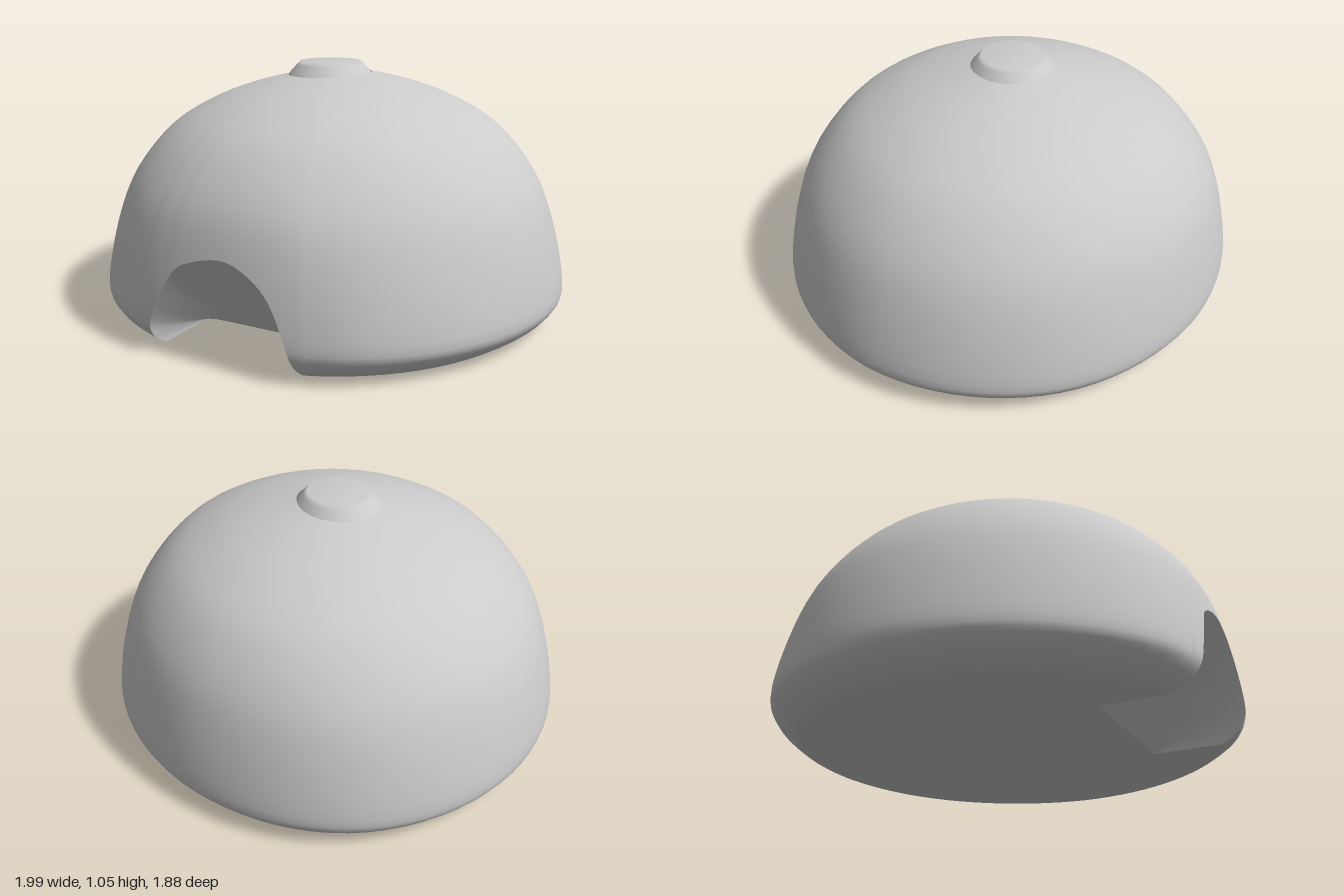
import * as THREE from 'three';

const v2 = (pts) => pts.map(([a, b]) => new THREE.Vector2(a, b));
const GROUND = 0.005;

// Dome profile (radius, height) from the rounded foot to the vent
const profile = new THREE.SplineCurve(v2([
  [0.87, GROUND], [0.91, 0.025], [0.975, 0.08], [0.997, 0.16], [0.945, 0.4], [0.862, 0.6],
  [0.71, 0.782], [0.525, 0.893], [0.34, 0.96], [0.15, 1.005],
]));

// Doorway outline (x, y), slightly off centre
const arch = new THREE.SplineCurve(v2([
  [-0.335, GROUND], [-0.33, 0.07], [-0.31, 0.16], [-0.23, 0.32], [-0.16, 0.385], [0, 0.425],
  [0.12, 0.385], [0.21, 0.3], [0.275, 0.16], [0.295, 0.07], [0.3, GROUND],
]));

const DOOR_STEPS = 40, ROUND_STEPS = 72, ROWS = 36, RECESS_Z = 0.53;

// Profile parameter at a given height
function paramAt(y) {
  let lo = 0, hi = 1;
  for (let i = 0; i < 30; i++) {
    const mid = (lo + hi) / 2;
    if (profile.getPoint(mid).y < y) lo = mid; else hi = mid;
  }
  return lo;
}

// Point on the dome; the plan is flattened at front and back and slimmer at the back left
function domePoint(angle, t) {
  const p = profile.getPoint(t);
  const slim = Math.sin(angle) > 0 ? 1 - 0.025 * Math.max(0, -Math.sin(2 * angle)) : 1;
  const x = p.x * slim * Math.sin(angle);
  let z = p.x * slim * Math.cos(angle);
  if (z > 0) z = Math.min(z - Math.max(0, z - 0.8) ** 2, 0.94);
  else z = 0.98 * z + 0.22 * Math.max(0, -z - 0.6) ** 2;
  return [x, p.y, z];
}

function surface(positions, index) {
  const g = new THREE.BufferGeometry();
  g.setAttribute('position', new THREE.Float32BufferAttribute(positions, 3));
  g.setIndex(index);
  g.computeVertexNormals();
  return g;
}

export function createModel() {
  const group = new THREE.Group();
  const grey = new THREE.MeshStandardMaterial({ color: 0xcccccc, side: THREE.DoubleSide });
  const add = (name, geometry) => {
    const mesh = new THREE.Mesh(geometry, grey);
    mesh.name = name;
    group.add(mesh);
    return mesh;
  };

  // Columns over the doorway start on its arch, the others at the ground
  const columns = [];
  for (const p of arch.getPoints(DOOR_STEPS)) {
    const t = paramAt(p.y);
    columns.push({ angle: Math.asin(p.x / profile.getPoint(t).x), t });
  }
  const first = columns[0].angle, last = columns[DOOR_STEPS].angle;
  for (let i = 1; i < ROUND_STEPS; i++) {
    columns.push({ angle: last + (first + 2 * Math.PI - last) * i / ROUND_STEPS, t: 0 });
  }

  // Dome shell
  const shell = [], shellIndex = [], w = ROWS + 1;
  columns.forEach(({ angle, t }, i) => {
    for (let j = 0; j <= ROWS; j++) shell.push(...domePoint(angle, t + (1 - t) * j / ROWS));
    const next = (i + 1) % columns.length;
    for (let j = 0; j < ROWS; j++) {
      const a = i * w + j, b = next * w + j;
      shellIndex.push(a, b, b + 1, a, b + 1, a + 1);
    }
  });
  add('dome', surface(shell, shellIndex));

  // Doorway recess: sides and ceiling slope from the arch down to the ground at the back
  const rim = columns.map(({ angle, t }) => domePoint(angle, t));
  const door = rim.slice(0, DOOR_STEPS + 1);
  const recess = [], recessIndex = [];
  door.forEach(([x, y, z], i) => {
    recess.push(x, y, z, x, GROUND, RECESS_Z);
    const a = 2 * i;
    if (i < DOOR_STEPS) recessIndex.push(a, a + 1, a + 3, a, a + 3, a + 2);
  });
  add('doorwayRecess', surface(recess, recessIndex));

  // Underside, notched at the doorway
  const outline = rim.slice(DOOR_STEPS).map(([x, , z]) => [x, z]);
  outline.push([door[0][0], door[0][2]], [door[0][0], RECESS_Z], [door[DOOR_STEPS][0], RECESS_Z]);
  const underside = new THREE.ShapeGeometry(new THREE.Shape(v2(outline))).rotateX(Math.PI / 2);
  add('underside', underside.translate(0, GROUND, 0));

  // Raised cap on the crown
  const cap = add('crownCap', new THREE.LatheGeometry(v2([
    [0.185, 0.985], [0.172, 1.005], [0.145, 1.035], [0.13, 1.05], [0, 1.052],
  ]), 24));
  cap.position.set(-0.025, 0, 0.015);

  return group;
}
